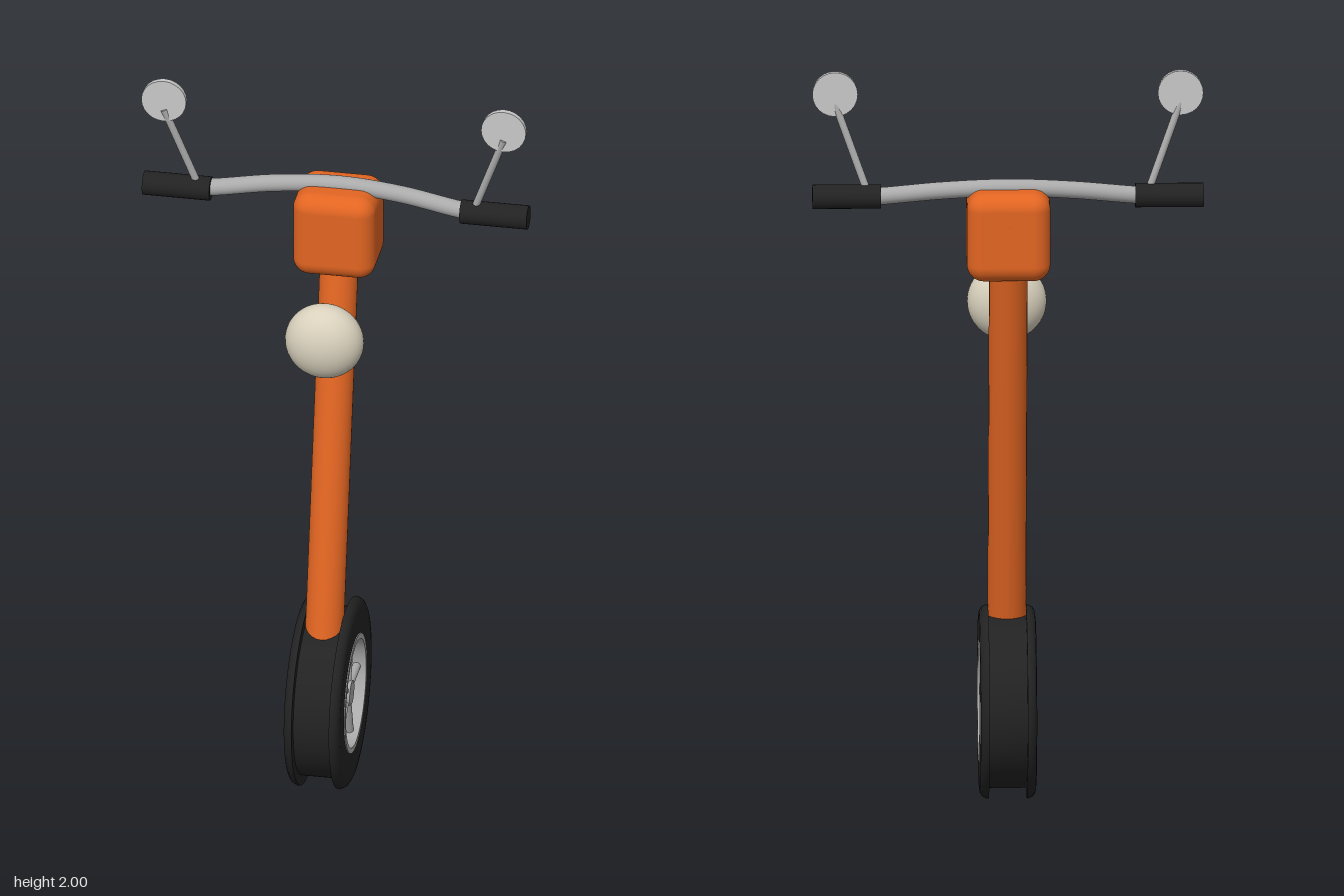
import * as THREE from 'three';
import { toCreasedNormals } from 'three/addons/utils/BufferGeometryUtils.js';
import { RoundedBoxGeometry } from 'three/addons/geometries/RoundedBoxGeometry.js';

const material = (name, color) => {
  const m = new THREE.MeshStandardMaterial({ color });
  m.name = name;
  return m;
};
const V = (x, y, z) => new THREE.Vector3(x, y, z);

export function createModel() {
  const orange = material('orange paint', 0xe26522);
  const black = material('black rubber', 0x222222);
  const metal = material('grey metal', 0xaaaaaa);
  const glass = material('mirror grey', 0xc8c8c8);
  const cream = material('cream lamp', 0xd9d1bd);

  const model = new THREE.Group();
  model.name = 'scooterFrontEnd';

  const add = (parent, name, geometry, mat, x = 0, y = 0, z = 0) => {
    const mesh = new THREE.Mesh(geometry, mat);
    mesh.name = name;
    mesh.position.set(x, y, z);
    parent.add(mesh);
    return mesh;
  };
  // Straight round bar between two points
  const rod = (parent, name, a, b, radius, mat) => {
    const dir = b.clone().sub(a);
    const mesh = add(parent, name, new THREE.CylinderGeometry(radius, radius, dir.length(), 24), mat);
    mesh.position.copy(a).add(b).multiplyScalar(0.5);
    mesh.quaternion.setFromUnitVectors(V(0, 1, 0), dir.normalize());
  };
  // Closed ring turned about the x axis, from [radius, x] points
  const ring = (parent, name, profile, mat) => {
    const points = [...profile, profile[0]].map(([r, x]) => new THREE.Vector2(r, x));
    const geometry = toCreasedNormals(new THREE.LatheGeometry(points, 64), 0.7);
    add(parent, name, geometry.rotateZ(-Math.PI / 2), mat);
  };

  // Wheel: grooved tyre, rim, web disc, hub, and spokes on the left side only
  const wheel = new THREE.Group();
  wheel.name = 'wheel';
  wheel.position.y = 0.256;
  model.add(wheel);
  ring(wheel, 'tyre', [
    [0.155, -0.073], [0.225, -0.075], [0.24, -0.073], [0.25, -0.067], [0.256, -0.055], [0.255, -0.05],
    [0.228, -0.05], [0.228, 0.05],
    [0.255, 0.05], [0.256, 0.055], [0.25, 0.067], [0.24, 0.073], [0.225, 0.075], [0.155, 0.073],
  ], black);
  ring(wheel, 'rim', [[0.145, -0.075], [0.16, -0.075], [0.16, 0.076], [0.145, 0.076]], metal);
  rod(wheel, 'webDisc', V(-0.008, 0, 0), V(0.008, 0, 0), 0.147, black);
  rod(wheel, 'hub', V(-0.05, 0, 0), V(0.065, 0, 0), 0.034, metal);
  for (let i = 0; i < 5; i++) {
    const a = (i * Math.PI * 2) / 5;
    rod(wheel, 'spoke', V(0.05, 0, 0), V(0.05, 0.15 * Math.sin(a), -0.15 * Math.cos(a)), 0.011, metal);
  }

  // Raked steering column and head housing
  rod(model, 'steeringColumn', V(0, 0.42, 0.054), V(0, 1.625, -0.2), 0.051, orange);
  add(model, 'headHousing', new RoundedBoxGeometry(0.22, 0.24, 0.195, 6, 0.045), orange, 0, 1.58, -0.152);

  // Oval headlamp
  add(model, 'headlamp', new THREE.SphereGeometry(1, 40, 28), cream, 0, 1.337, 0.046)
    .scale.set(0.105, 0.105, 0.074);

  // Bowed handlebar
  const barCurve = new THREE.CatmullRomCurve3([
    V(-0.4, 1.667, -0.123), V(-0.33, 1.672, -0.127), V(-0.17, 1.691, -0.145), V(0, 1.7, -0.153),
    V(0.17, 1.691, -0.145), V(0.33, 1.672, -0.127), V(0.4, 1.667, -0.123),
  ]);
  add(model, 'handlebar', new THREE.TubeGeometry(barCurve, 48, 0.023, 20), metal);

  // Grips and mirrors on both sides
  for (const s of [-1, 1]) {
    rod(model, 'grip', V(s * 0.335, 1.669, -0.122), V(s * 0.515, 1.669, -0.122), 0.032, black);
    rod(model, 'mirrorStem', V(s * 0.368, 1.675, -0.121), V(s * 0.455, 1.915, -0.089), 0.01, metal);
    rod(model, 'mirror', V(s * 0.455, 1.941, -0.099), V(s * 0.455, 1.941, -0.084), 0.06, glass);
  }
  return model;
}
